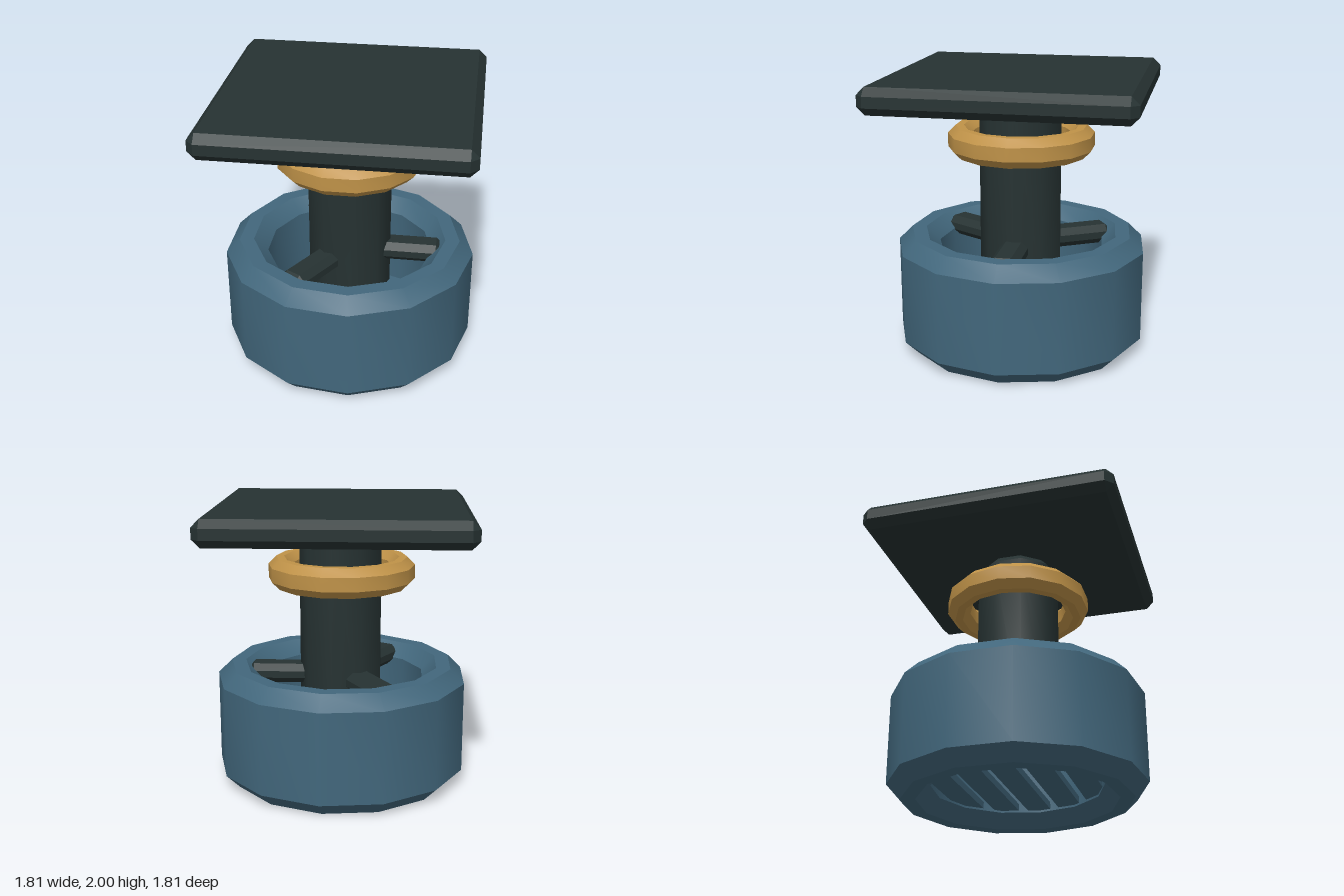
import * as THREE from 'three';
import { toCreasedNormals } from 'three/addons/utils/BufferGeometryUtils.js';
import { ConvexGeometry } from 'three/addons/geometries/ConvexGeometry.js';

const material = (name, color) => {
  const m = new THREE.MeshStandardMaterial({ color });
  m.name = name;
  return m;
};

// Box with every edge cut at 45 degrees
function chamferBox(w, h, d, c) {
  const points = [];
  for (const x of [-1, 1]) for (const y of [-1, 1]) for (const z of [-1, 1])
    for (let axis = 0; axis < 3; axis++) {
      const half = [w / 2, h / 2, d / 2].map((s, i) => (i === axis ? s : s - c));
      points.push(new THREE.Vector3(x * half[0], y * half[1], z * half[2]));
    }
  return new ConvexGeometry(points);
}

// Turned part with a corner on +x; smooth around, sharp at chamfers
function turned(profile, sides) {
  const points = profile.map(([r, y]) => new THREE.Vector2(r, y));
  return toCreasedNormals(new THREE.LatheGeometry(points, sides, Math.PI / 2), 0.72);
}

// Hollow ring with chamfered rims
function ring(inner, outer, y0, y1, c, sides) {
  return turned([
    [inner + c, y0], [outer - c, y0], [outer, y0 + c], [outer, y1 - c],
    [outer - c, y1], [inner + c, y1], [inner, y1 - c], [inner, y0 + c], [inner + c, y0],
  ], sides);
}

export function createModel() {
  const model = new THREE.Group();
  const blue = material('slate blue', 0x42677c);
  const dark = material('dark iron', 0x263232);
  const gold = material('brass', 0xbf9248);

  const add = (name, geometry, mat, x = 0, y = 0, z = 0, parent = model) => {
    const mesh = new THREE.Mesh(geometry, mat);
    mesh.name = name;
    mesh.position.set(x, y, z);
    parent.add(mesh);
    return mesh;
  };

  // Hollow base drum
  add('baseDrum', ring(0.6, 0.903, 0, 0.85, 0.1, 13), blue);

  // Slats across the bottom opening
  for (let i = -2; i <= 2; i++) {
    const z = i * 0.235;
    const length = 2 * Math.sqrt(0.7 * 0.7 - z * z);
    add('bottomSlat', new THREE.BoxGeometry(length, 0.05, 0.17), blue, 0, 0.14, z);
  }

  // Central post and the brass hub at its foot
  add('post', turned([
    [0, 0.42], [0.24, 0.42], [0.299, 0.48], [0.299, 1.76], [0.24, 1.82], [0, 1.82],
  ], 9), dark);
  add('hub', turned([[0, 0.32], [0.2, 0.32], [0.24, 0.36], [0.24, 0.43], [0, 0.43]], 14), gold);

  // Three spokes holding the post
  for (let i = 0; i < 3; i++) {
    const spoke = new THREE.Group();
    spoke.name = 'spoke';
    spoke.rotation.y = (i * Math.PI * 2) / 3;
    add('spokeBar', chamferBox(0.48, 0.14, 0.2, 0.045), dark, 0.44, 0.765, 0, spoke);
    model.add(spoke);
  }

  // Brass collar
  add('collar', ring(0.355, 0.522, 1.412, 1.62, 0.055, 14), gold);

  // Square top plate
  add('topPlate', chamferBox(1.81, 0.185, 1.81, 0.055), dark, 0, 1.9075, 0);

  return model;
}
